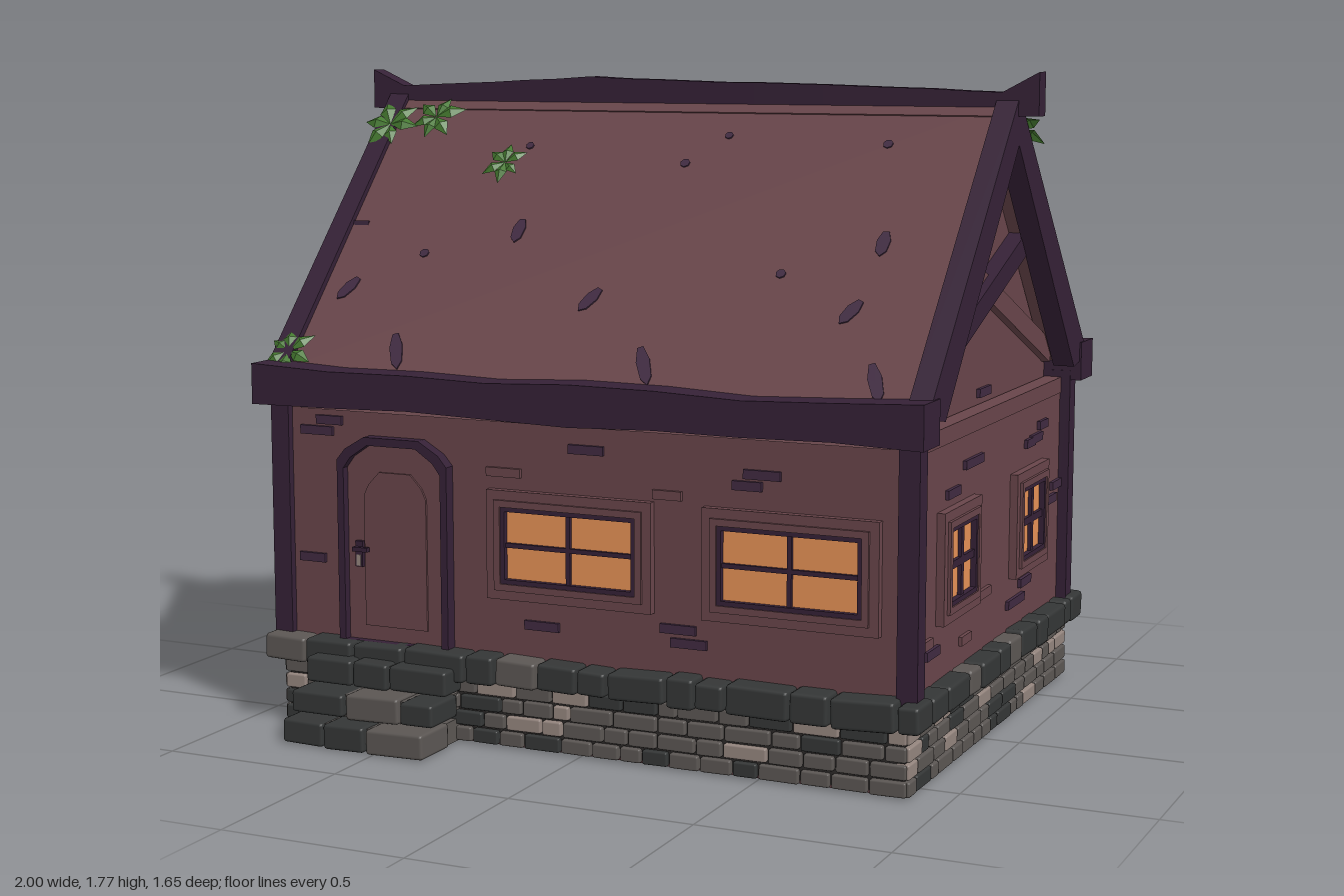
import * as THREE from 'three';
import { RoundedBoxGeometry } from 'three/addons/geometries/RoundedBoxGeometry.js';

const paint = (name, color) => Object.assign(new THREE.MeshStandardMaterial({ color }), { name });
const M = {
  wall: paint('dusty plaster', 0x68454a),
  trim: paint('purple timber', 0x352136),
  glass: paint('lamplit glass', 0xe69156),
  dark: paint('dark stone', 0x343636),
  mid: paint('grey stone', 0x5b5653),
  pale: paint('pale stone', 0x94857e),
  mortar: paint('dark mortar', 0x2b2827),
  leaf: paint('ivy green', 0x44782f),
  brick: paint('plum brick', 0x402a41),
};
M.leaf.side = THREE.DoubleSide;

let seed = 7;
const rnd = () => (seed = (seed * 16807) % 2147483647) / 2147483647;
const jit = (a) => (rnd() - 0.5) * 2 * a;

function add(parent, name, geo, mat, x = 0, y = 0, z = 0) {
  const m = new THREE.Mesh(geo, mat);
  m.name = name;
  m.position.set(x, y, z);
  parent.add(m);
  return m;
}
const box = (p, name, mat, w, h, d, x, y, z) => add(p, name, new THREE.BoxGeometry(w, h, d), mat, x, y, z);
function group(parent, name, ry = 0) {
  const g = new THREE.Group();
  g.name = name;
  g.rotation.y = ry;
  parent.add(g);
  return g;
}
const poly = (pts) => new THREE.Shape(pts.map(([x, y]) => new THREE.Vector2(x, y)));
const extrude = (shape, depth) => new THREE.ExtrudeGeometry(shape, { depth, bevelEnabled: false });
const rect = (w, h) => [[-w / 2, -h / 2], [w / 2, -h / 2], [w / 2, h / 2], [-w / 2, h / 2]];

// Rectangular border facing +z
function frame(p, name, mat, w, h, t, depth) {
  const s = poly(rect(w, h));
  s.holes.push(poly(rect(w - 2 * t, h - 2 * t)));
  add(p, name, extrude(s, depth), mat);
}

function windowUnit(p, x, y, w, h, bar) {
  const g = group(p, 'window');
  g.position.set(x, y, 0);
  frame(g, 'windowSurround', M.wall, w, h, 0.032, 0.022);
  frame(g, 'windowCasing', M.wall, w - 0.05, h - 0.05, 0.018, 0.03);
  frame(g, 'windowFrame', M.trim, w - 0.078, h - 0.078, 0.016, 0.026);
  box(g, 'windowGlass', M.glass, w - 0.1, h - 0.1, 0.008, 0, 0, 0.006);
  box(g, 'windowMullion', M.trim, bar, h - 0.09, 0.016, 0, 0, 0.012);
  box(g, 'windowBar', M.trim, w - 0.09, bar, 0.016, 0, 0, 0.012);
}

// Exposed bricks standing slightly out of the plaster
const bricks = (p, list, z) => list.forEach(([x, y], i) =>
  box(p, 'exposedBrick', i % 5 === 4 ? M.wall : M.brick, i % 3 ? 0.1 : 0.08, 0.024, 0.016, x, y, z));

// Hand-hewn beam along x whose top and bottom follow small height offsets
function beam(p, name, len, h, d, y, z, topY, lowY) {
  const n = topY.length - 1;
  const geo = new THREE.BoxGeometry(len, h, d, n, 1, 1).toNonIndexed();
  const a = geo.attributes.position;
  for (let i = 0; i < a.count; i++) {
    const k = Math.round((a.getX(i) / len + 0.5) * n);
    a.setY(i, a.getY(i) + (a.getY(i) > 0 ? topY : lowY)[k]);
  }
  geo.computeVertexNormals();
  add(p, name, geo, M.trim, 0, y, z);
}

// One row of worn stones along x between -half and half
function course(p, name, half, y, h, z, d, wMin, wMax, pick, wob) {
  let x = -half;
  while (x < half - 0.01) {
    let w = wMin + rnd() * (wMax - wMin);
    if (half - x - w < wMin * 0.7) w = half - x;
    const geo = new RoundedBoxGeometry(w - 0.006, h + jit(wob), d + jit(wob), 1, h * 0.14);
    const s = add(p, name, geo, pick(), x + w / 2, y, z);
    s.rotation.z = jit(wob * 5);
    x += w;
  }
}

// Star of folded pointed leaves, growing along +y
function ivy(p, x, y, z, r) {
  const g = group(p, 'ivySprig', rnd() * 3);
  g.position.set(x, y, z);
  const geo = new THREE.BufferGeometry();
  geo.setAttribute('position', new THREE.Float32BufferAttribute([
    0, 0.1, 0, 0.5, 0.14, 0.26, 0.5, 0.26, 0, 0.5, 0.14, -0.26, 1, 0.04, 0], 3));
  geo.setIndex([0, 1, 2, 0, 2, 3, 1, 4, 2, 2, 4, 3]);
  const flat = geo.toNonIndexed();
  flat.computeVertexNormals();
  for (let i = 0; i < 6; i++) {
    const leaf = add(g, 'ivyLeaf', flat, M.leaf);
    leaf.rotation.y = (i / 6) * Math.PI * 2 + jit(0.15);
    leaf.scale.setScalar(r * (0.85 + rnd() * 0.3));
  }
}

// Sloped roof half: local z runs down from the ridge, local y is the outward normal
const PITCH = Math.atan(1.08), SLOPE = 0.98;
function roofSide(parent, name, ry, marks, sprigs) {
  const turn = group(parent, name, ry);
  const g = group(turn, 'roofSlope');
  g.position.set(0, 1.69, 0);
  g.rotation.x = PITCH;
  box(g, 'roofSlab', M.wall, 1.8, 0.05, SLOPE, 0, -0.025, SLOPE / 2);
  for (const [x, d, r, tilt] of marks) {
    const m = add(g, 'roofMark', new THREE.CylinderGeometry(1, 1, 0.006, 7), M.brick, x, 0.001, d);
    m.scale.set(r < 0.02 ? r : 0.019, 1, r < 0.02 ? r : r * 1.3);
    m.rotation.y = tilt;
  }
  for (const [x, d, r] of sprigs) ivy(g, x, 0.005, d, r);
  beam(turn, 'eaveBeam', 1.9, 0.1, 0.12, 0.935, 0.688,
    [0.008, -0.002, 0, -0.006, 0.004, 0.002, -0.008, 0, 0.01], [-0.002, 0, 0.006, 0, -0.006, 0.002, 0, 0.004, -0.004]);
}

// Gable end: side wall details, brace and rake timbers, facing local +z
function gableEnd(parent, name, ry) {
  const g = group(parent, name, ry);
  const face = group(g, 'sideWallDetails');
  face.position.z = 0.89;
  windowUnit(face, -0.312, 0.535, 0.3, 0.29, 0.02);
  windowUnit(face, 0.305, 0.535, 0.3, 0.29, 0.02);
  bricks(face, [[-0.22, 0.77], [-0.16, 0.77], [-0.35, 0.715], [0.44, 0.78], [-0.08, 0.4], [0.38, 0.75], [0.32, 0.745],
    [0.59, 0.585], [0.53, 0.55], [-0.235, 0.31], [0.29, 0.36], [0.23, 0.32], [0.17, 0.32], [-0.5, 0.33], [-0.555, 0.36]], 0.002);
  bricks(g, [[-0.4, 0.985], [0.05, 0.92], [-0.06, 1.39], [0.02, 1.355]], 0.842);
  box(g, 'wallPlate', M.wall, 1.3, 0.045, 0.05, 0, 0.868, 0.868);
  const brace = box(g, 'gableBrace', M.trim, 0.9, 0.062, 0.05, -0.09, 1.165, 0.862);
  brace.rotation.z = 0.355;
  const plank = box(g, 'gablePlank', M.wall, 0.9, 0.06, 0.03, 0.2, 1.13, 0.848);
  plank.rotation.z = -0.38;
  const rake = poly([[-0.7, 0.95], [-0.57, 0.93], [0, 1.58], [0.57, 0.93], [0.7, 0.95], [0.672, 0.99], [0, 1.71], [-0.672, 0.99]]);
  add(g, 'rakeTimbers', extrude(rake, 0.06), M.trim, 0, 0, 0.885);
}

export function createModel() {
  const model = new THREE.Group();
  model.name = 'cottage';
  const house = group(model, 'house');
  house.position.z = -0.08;

  // Walls and gable core
  box(house, 'walls', M.wall, 1.78, 0.68, 1.32, 0, 0.54, 0);
  add(house, 'gableCore', extrude(poly([[-0.68, 0.87], [0.68, 0.87], [0, 1.62]]), 1.68), M.wall, -0.84, 0, 0).rotation.y = Math.PI / 2;
  for (const x of [-1, 1]) for (const z of [-1, 1])
    box(house, 'cornerPost', M.trim, 0.055, 0.7, 0.055, x * 0.9 - 0.008, 0.56, z * 0.653);

  // Stone footing with mortar core, floor plate and cap stones
  box(house, 'footingCore', M.mortar, 1.78, 0.21, 1.36, 0, 0.12, 0);
  box(house, 'floorPlate', M.wall, 1.78, 0.008, 1.36, 0, 0.011, 0);
  const pickWall = () => { const r = rnd(); return r < 0.15 ? M.pale : r < 0.35 ? M.dark : M.mid; };
  const pickCap = () => (rnd() < 0.1 ? M.mid : M.dark);
  for (let k = 0; k < 4; k++) {
    const side = group(house, 'footingSide', (k * Math.PI) / 2);
    const long = k % 2 === 0, dist = long ? 0.695 : 0.905;
    for (let r = 0; r < 4; r++)
      course(side, 'footingStone', long ? 0.9 : 0.69, 0.027 + r * 0.044, 0.038, dist - 0.02, 0.04, 0.05, 0.13, pickWall, 0.002);
    course(side, 'capStone', long ? 0.945 : 0.62, 0.213, 0.074, (long ? 0.73 : 0.945) - 0.055, 0.11, 0.08, 0.19, pickCap, 0.008);
  }

  // Front wall with door and windows
  const front = group(house, 'frontWall');
  front.position.z = 0.66;
  windowUnit(front, -0.036, 0.545, 0.475, 0.29, 0.012);
  windowUnit(front, 0.58, 0.545, 0.475, 0.29, 0.012);
  bricks(front, [[-0.76, 0.84], [-0.8, 0.81], [0.01, 0.81], [-0.82, 0.46], [-0.23, 0.735], [0.5, 0.78], [0.46, 0.75],
    [0.27, 0.365], [0.3, 0.33], [0.24, 0.71], [-0.12, 0.335]], 0.002);
  const door = group(front, 'door');
  door.position.set(-0.553, 0.25, 0);
  const arch = (w, h) => poly([[-w, 0], [w, 0], [w, h - 0.065], [w * 0.85, h - 0.035], [w * 0.5, h],
    [-w * 0.5, h], [-w * 0.85, h - 0.035], [-w, h - 0.065]]);
  const surround = arch(0.168, 0.555);
  surround.holes.push(arch(0.148, 0.533));
  add(door, 'doorFrame', extrude(surround, 0.035), M.trim);
  add(door, 'doorLeaf', extrude(arch(0.15, 0.535), 0.012), M.wall);
  add(door, 'doorPanel', extrude(arch(0.095, 0.42), 0.008), M.wall, 0, 0.04, 0.01);
  box(door, 'handlePlate', M.trim, 0.022, 0.07, 0.012, -0.11, 0.235, 0.018);
  box(door, 'doorHandle', M.trim, 0.045, 0.012, 0.014, -0.098, 0.25, 0.034);
  box(door, 'keyhole', M.pale, 0.012, 0.03, 0.008, -0.11, 0.218, 0.023);

  // Back wall
  const back = group(house, 'backWall', Math.PI);
  back.position.z = -0.66;
  windowUnit(back, -0.32, 0.545, 0.475, 0.29, 0.012);
  windowUnit(back, 0.47, 0.545, 0.475, 0.29, 0.012);
  bricks(back, [[-0.72, 0.8], [-0.76, 0.77], [0.05, 0.81], [0.1, 0.78], [0.78, 0.77], [-0.7, 0.42], [-0.66, 0.39],
    [0.1, 0.36], [0.06, 0.33], [0.8, 0.42], [-0.35, 0.34], [0.08, 0.6]], 0.002);

  gableEnd(house, 'rightGable', Math.PI / 2);
  gableEnd(house, 'leftGable', -Math.PI / 2);

  // Roof: marks are [x, distance down slope, size, tilt]
  roofSide(house, 'frontRoof', 0,
    [[-0.81, 0.7, 0.034, -0.5], [-0.62, 0.57, 0.014, 0], [-0.36, 0.48, 0.032, 0], [-0.58, 0.9, 0.05, 0.4], [-0.07, 0.7, 0.034, -0.5],
      [0.15, 0.9, 0.052, 0.45], [0.06, 0.23, 0.014, 0], [0.16, 0.13, 0.012, 0], [0.44, 0.59, 0.014, 0], [0.66, 0.7, 0.034, -0.5],
      [0.69, 0.48, 0.032, 0], [0.78, 0.91, 0.05, 0.4], [0.62, 0.15, 0.014, 0], [-0.43, 0.18, 0.012, 0]],
    [[-0.9, 0.12, 0.085], [-0.76, 0.09, 0.085], [-0.48, 0.25, 0.065], [-0.9, 0.93, 0.075]]);
  roofSide(house, 'backRoof', Math.PI,
    [[0.75, 0.88, 0.05, 0.5], [0.5, 0.69, 0.036, -0.5], [0.22, 0.47, 0.032, 0], [0.01, 0.88, 0.05, 0.5], [-0.07, 0.69, 0.036, -0.5],
      [-0.53, 0.88, 0.05, 0.5], [-0.66, 0.69, 0.036, -0.5], [-0.82, 0.47, 0.032, 0], [0.4, 0.37, 0.014, 0], [0.03, 0.18, 0.012, 0],
      [-0.35, 0.18, 0.012, 0], [-0.3, 0.57, 0.014, 0]],
    [[-0.91, 0.11, 0.085], [-0.7, 0.15, 0.08], [0.57, 0.29, 0.06]]);
  beam(house, 'ridgeBeam', 2, 0.1, 0.056, 1.705, -0.015,
    [0.01, -0.035, -0.03, -0.026, -0.022, -0.016, -0.012, -0.005, -0.01, -0.012, -0.015, -0.018, -0.018, -0.02, -0.022, -0.025,
      -0.028, -0.03, -0.035, -0.038, 0.015], Array(21).fill(0));

  // Front steps
  const steps = group(model, 'frontSteps');
  steps.position.x = -0.563;
  [0.82, 0.77, 0.7].forEach((z, i) => {
    box(steps, 'stepCore', M.mid, 0.4, 0.06, z - 0.59, 0, 0.036 + i * 0.07, (z + 0.55) / 2);
    course(steps, 'stepStone', 0.217, 0.038 + i * 0.07, 0.066, z - 0.07, 0.14, 0.1, 0.17, () => (rnd() < 0.4 ? M.mid : M.dark), 0.006);
  });
  return model;
}
